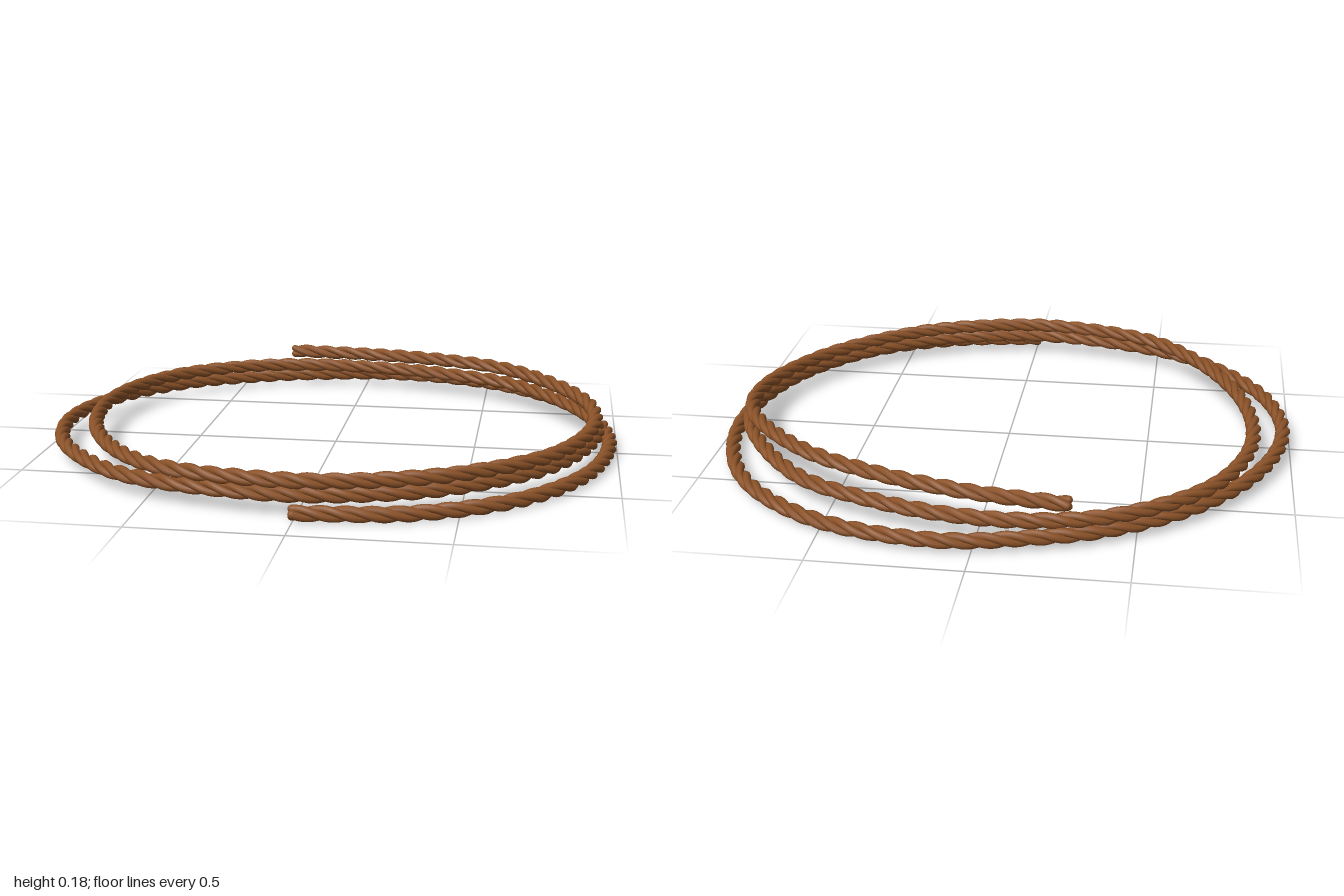
import * as THREE from 'three';

const STRANDS = 3;
const STRAND_RADIUS = 0.0135;
const STRAND_OFFSET = 0.0135;
const TWISTS = 60;

// Centre line of the coil, from the lower outer end to the upper inner end
const path = new THREE.CatmullRomCurve3([
  // first turn, lying on the ground
  [0, 0.031, 0.885], [0.35, 0.028, 0.825], [0.67, 0.028, 0.65], [0.89, 0.028, 0.35],
  [0.973, 0.028, -0.03], [0.92, 0.03, -0.35], [0.78, 0.034, -0.6], [0.5, 0.038, -0.81],
  [0.12, 0.04, -0.89], [-0.18, 0.042, -0.84], [-0.42, 0.044, -0.755], [-0.67, 0.05, -0.59],
  [-0.88, 0.056, -0.32], [-0.973, 0.06, 0], [-0.92, 0.062, 0.3], [-0.77, 0.064, 0.53],
  [-0.555, 0.066, 0.705],
  // second turn, resting on the first
  [-0.07, 0.07, 0.82], [0.25, 0.07, 0.775], [0.51, 0.07, 0.655], [0.78, 0.07, 0.4],
  [0.92, 0.074, 0.06], [0.9, 0.08, -0.2], [0.62, 0.085, -0.6], [0.35, 0.085, -0.735],
  [0.09, 0.085, -0.8], [-0.2, 0.087, -0.81], [-0.47, 0.09, -0.73], [-0.74, 0.094, -0.5],
  [-0.865, 0.096, -0.14], [-0.79, 0.1, 0.31], [-0.5, 0.11, 0.7],
  // third turn, on top
  [-0.07, 0.115, 0.82], [0.25, 0.114, 0.775], [0.51, 0.112, 0.655], [0.78, 0.108, 0.4],
  [0.915, 0.118, 0.06], [0.88, 0.135, -0.22], [0.62, 0.155, -0.54], [0.35, 0.155, -0.68],
  [0.05, 0.15, -0.76], [-0.29, 0.146, -0.8],
].map((p) => new THREE.Vector3(...p)));
path.arcLengthDivisions = 1500;

// One strand: a helix wound around the centre line
class StrandCurve extends THREE.Curve {
  constructor(phase) {
    super();
    this.phase = phase;
    this.arcLengthDivisions = 2400;
  }

  getPoint(t, target = new THREE.Vector3()) {
    const tangent = path.getTangentAt(t);
    const side = new THREE.Vector3(-tangent.z, 0, tangent.x).normalize();
    const up = new THREE.Vector3().crossVectors(side, tangent);
    const angle = this.phase - t * TWISTS * Math.PI * 2;
    return target.copy(path.getPointAt(t))
      .addScaledVector(side, STRAND_OFFSET * Math.cos(angle))
      .addScaledVector(up, STRAND_OFFSET * Math.sin(angle));
  }
}

export function createModel() {
  const group = new THREE.Group();
  group.name = 'coiledRope';
  const material = new THREE.MeshStandardMaterial({ color: 0x8b5228 });

  for (let i = 0; i < STRANDS; i++) {
    const curve = new StrandCurve((i / STRANDS) * Math.PI * 2);
    const strand = new THREE.Mesh(
      new THREE.TubeGeometry(curve, 1100, STRAND_RADIUS, 9, false), material);
    strand.name = `strand${i + 1}`;
    group.add(strand);

    // Rounded strand tips
    for (const t of [0, 1]) {
      const tip = new THREE.Mesh(new THREE.SphereGeometry(STRAND_RADIUS, 10, 8), material);
      tip.name = t ? 'upperTip' : 'lowerTip';
      tip.position.copy(curve.getPoint(t));
      group.add(tip);
    }
  }
  return group;
}
